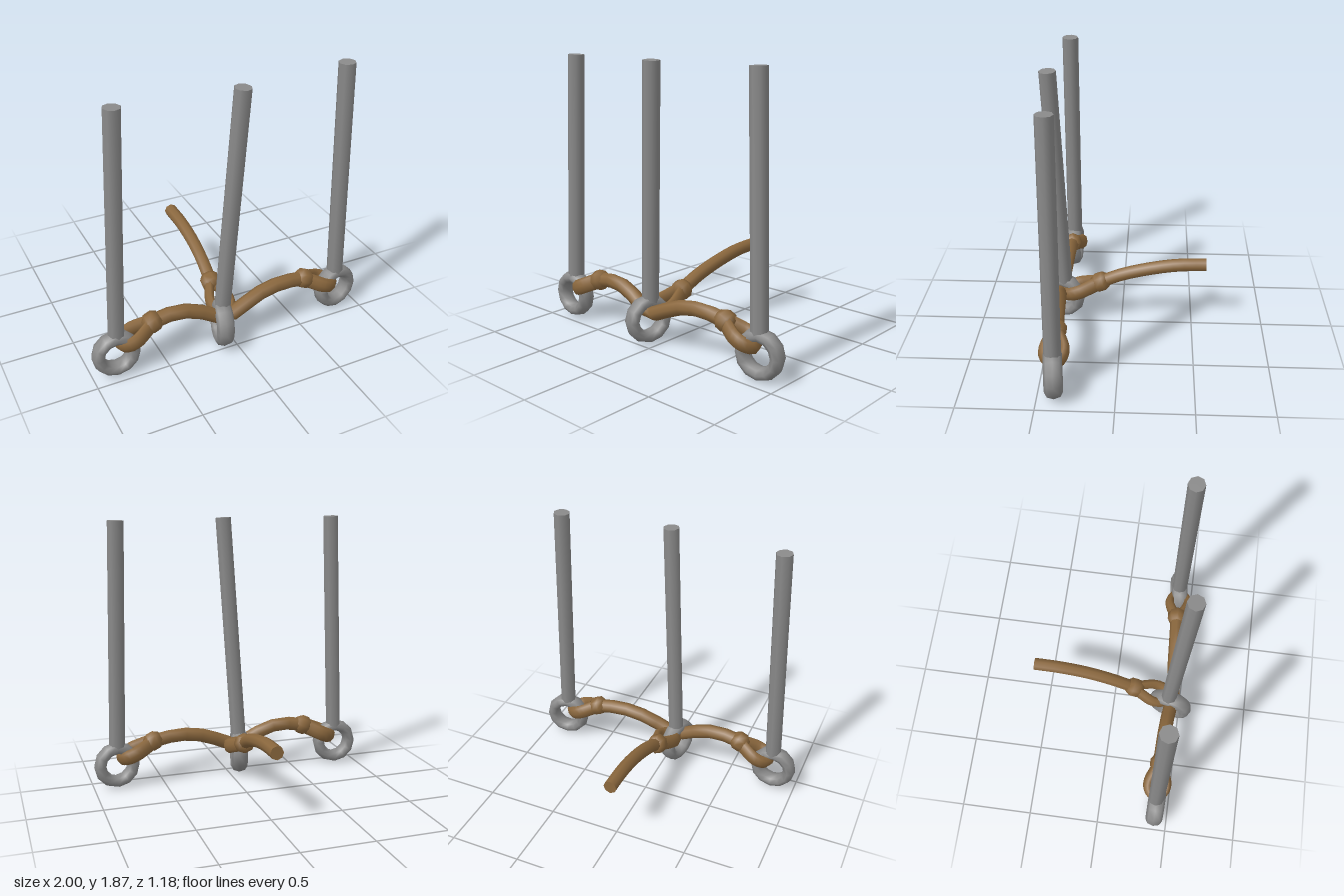
import * as THREE from 'three';

const steel = new THREE.MeshStandardMaterial({ color: 0x8a8a8a });
steel.name = 'steel grey';
const hemp = new THREE.MeshStandardMaterial({ color: 0x8a673d });
hemp.name = 'rope brown';

const V = (x, y, z) => new THREE.Vector3(x, y, z);

function mesh(name, geometry, material) {
  const m = new THREE.Mesh(geometry, material);
  m.name = name;
  return m;
}

// Straight rod with a ring at its foot
function stake(name, foot, top, ringCentre, turn) {
  const g = new THREE.Group();
  g.name = name;
  const axis = top.clone().sub(foot);
  const rod = mesh('rod', new THREE.CylinderGeometry(0.056, 0.056, axis.length(), 8), steel);
  rod.position.copy(foot).addScaledVector(axis, 0.5);
  rod.quaternion.setFromUnitVectors(V(0, 1, 0), axis.normalize());
  const ring = mesh('ring', new THREE.TorusGeometry(0.122, 0.043, 8, 12), steel);
  ring.scale.z = 1.4;
  ring.rotation.y = turn;
  ring.position.copy(ringCentre);
  g.add(rod, ring);
  return g;
}

// Sagging rope with closed ends
function rope(name, points, radius) {
  const g = new THREE.Group();
  g.name = name;
  const curve = new THREE.CatmullRomCurve3(points);
  g.add(mesh('strand', new THREE.TubeGeometry(curve, 10, radius, 8), hemp));
  for (const [t, s] of [[0, -1], [1, 1]]) {
    const cap = mesh('ropeEnd', new THREE.CircleGeometry(radius, 8), hemp);
    cap.position.copy(curve.getPointAt(t));
    cap.quaternion.setFromUnitVectors(V(0, 0, 1), curve.getTangentAt(t).multiplyScalar(s));
    g.add(cap);
  }
  return g;
}

// Knot and the flat loop that passes through a ring; local +x points at the ring
function hitch(name, at, end) {
  const g = new THREE.Group();
  g.name = name;
  const x = end.clone().sub(at);
  const length = x.length();
  x.normalize();
  const z = x.clone().cross(V(0, 1, 0)).normalize();
  const y = z.clone().cross(x);
  g.quaternion.setFromRotationMatrix(new THREE.Matrix4().makeBasis(x, y, z));
  g.position.copy(at);

  const profile = [[0, -0.06], [0.045, -0.06], [0.07, -0.025], [0.07, 0.025], [0.045, 0.06], [0, 0.06]];
  const knot = mesh('knot', new THREE.LatheGeometry(profile.map(p => new THREE.Vector2(...p)), 8), hemp);
  knot.rotation.z = -Math.PI / 2;

  const side = [[0.3, 0.045], [0.6, 0.068], [0.85, 0.052]];
  const path = [V(0, 0, 0), ...side.map(([a, w]) => V(a * length, 0, w)), V(length, 0, 0),
    ...side.slice().reverse().map(([a, w]) => V(a * length, 0, -w))];
  const loop = mesh('loop',
    new THREE.TubeGeometry(new THREE.CatmullRomCurve3(path, true), 20, 0.034, 8, true), hemp);
  loop.scale.y = 1.6;
  g.add(knot, loop);
  return g;
}

export function createModel() {
  const model = new THREE.Group();
  model.name = 'ropeAndStakes';

  // Three ringed stakes
  model.add(
    stake('rightStake', V(-0.827, 0.28, 0.405), V(-0.765, 1.87, 0.395), V(-0.835, 0.168, 0.41), -0.03),
    stake('middleStake', V(-0.07, 0.28, 0.41), V(0.02, 1.87, 0.465), V(-0.078, 0.168, 0.425), 1.32),
    stake('leftStake', V(0.83, 0.28, 0.395), V(0.79, 1.87, 0.39), V(0.835, 0.165, 0.395), 0.12),
  );

  // Ropes meeting at the middle ring
  model.add(
    rope('sideRope', [V(-0.575, 0.32, 0.4), V(-0.4, 0.345, 0.405), V(-0.24, 0.3, 0.415), V(-0.12, 0.235, 0.43),
      V(-0.05, 0.212, 0.435), V(0.04, 0.245, 0.435), V(0.2, 0.31, 0.42), V(0.38, 0.335, 0.41),
      V(0.57, 0.31, 0.4)], 0.05),
    rope('backRope', [V(-0.03, 0.31, 0.15), V(-0.018, 0.38, 0), V(-0.006, 0.44, -0.2),
      V(-0.003, 0.475, -0.4), V(-0.003, 0.482, -0.59)], 0.046),
  );

  // Knotted loops through the rings
  model.add(
    hitch('rightHitch', V(-0.575, 0.32, 0.4), V(-0.8, 0.215, 0.4)),
    hitch('leftHitch', V(0.57, 0.31, 0.4), V(0.8, 0.205, 0.4)),
    hitch('backHitch', V(-0.03, 0.31, 0.15), V(-0.04, 0.21, 0.41)),
  );
  return model;
}
